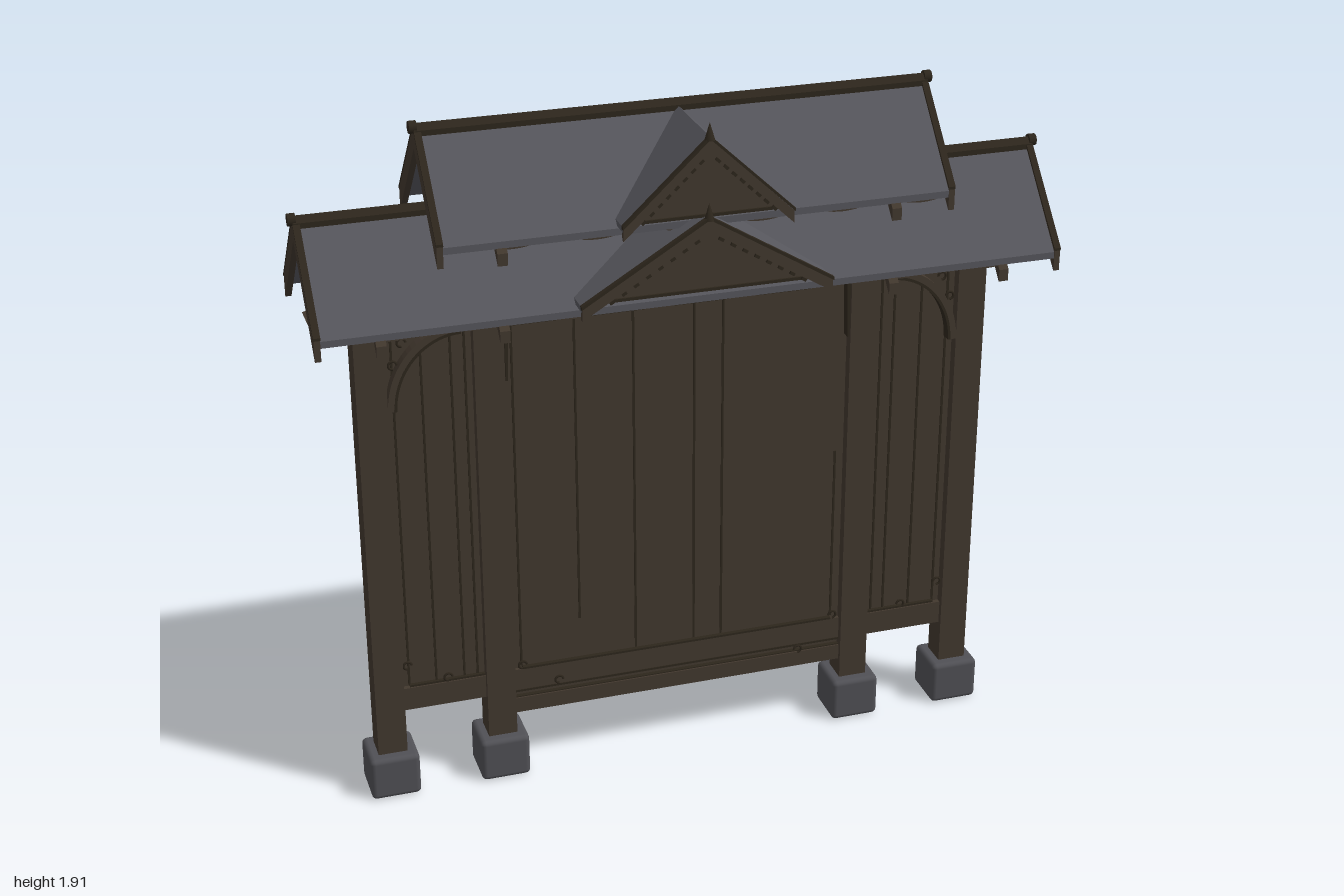
import * as THREE from 'three';
import { RoundedBoxGeometry } from 'three/addons/geometries/RoundedBoxGeometry.js';

const mat = (name, color, side = THREE.FrontSide) => {
  const m = new THREE.MeshStandardMaterial({ color, side });
  m.name = name;
  return m;
};

export function createModel() {
  const root = new THREE.Group();
  root.name = 'roofedNoticeBoard';
  const wood = mat('wood', 0x42382e);
  const trim = mat('darkTrim', 0x2d261c);
  const slate = mat('slate', 0x56565c);
  const stone = mat('stone', 0x505055);
  const ZC = -0.027; // centre plane of the wall and ridge

  const add = (name, geo, m, x = 0, y = 0, z = 0) => {
    const mesh = new THREE.Mesh(geo, m);
    mesh.name = name;
    mesh.position.set(x, y, z);
    root.add(mesh);
    return mesh;
  };
  // box given by its limits
  const box = (name, m, x0, x1, y0, y1, z0, z1) =>
    add(name, new THREE.BoxGeometry(x1 - x0, y1 - y0, z1 - z0), m, (x0 + x1) / 2, (y0 + y1) / 2, (z0 + z1) / 2);
  const polygon = (pts) => new THREE.Shape(pts.map(([a, b]) => new THREE.Vector2(a, b)));
  const extrude = (shape, depth) =>
    new THREE.ExtrudeGeometry(shape, { depth, bevelEnabled: false, curveSegments: 10 }).translate(0, 0, -depth / 2);
  // upside-down V: half width w, drop h, between vertical offsets a (top) and b (bottom)
  const chevron = (w, h, a, b) => polygon([[0, a], [-w, a - h], [-w, b - h], [0, b], [w, b - h], [w, a - h]]);
  const alongX = (shape, len) => extrude(shape, len).rotateY(-Math.PI / 2);

  // posts on stone feet
  for (const x of [-0.825, -0.516, 0.516, 0.825]) {
    add('stoneFoot', new RoundedBoxGeometry(0.137, 0.125, 0.137, 2, 0.014), stone, x, 0.0625, ZC);
    const top = Math.abs(x) > 0.7 ? 1.5 : 1.6;
    box('post', wood, x - 0.04, x + 0.04, 0.12, top, ZC - 0.038, ZC + 0.038);
  }

  // middle panel with rails
  box('middlePanel', wood, -0.48, 0.48, 0.2, 1.42, ZC - 0.012, ZC + 0.01);
  box('middleBottomRail', wood, -0.48, 0.48, 0.18, 0.225, ZC - 0.026, ZC + 0.026);
  box('middleLowerRail', wood, -0.48, 0.48, 0.245, 0.312, ZC - 0.02, ZC + 0.02);
  box('middleTopRail', wood, -0.48, 0.48, 1.345, 1.43, ZC - 0.026, ZC + 0.026);
  for (const [y, w] of [[0.225, 0.476], [0.245, 0.476], [0.315, 0.45], [1.34, 0.45]])
    box('middleRailLine', trim, -w, w, y - 0.003, y + 0.003, ZC, ZC + 0.022);
  // plank joints: x, bottom, top
  const joints = [[-0.284, 0.44, 1.34], [-0.124, 0.32, 1.34], [0.044, 0.32, 1.34], [0.124, 0.32, 1.34],
    [-0.452, 0.32, 1.34], [0.452, 0.32, 0.84]];
  for (const [x, y0, y1] of joints) box('plankJoint', trim, x - 0.003, x + 0.003, y0, y1, ZC, ZC + 0.013);

  // side panels
  for (const s of [-1, 1]) {
    const sbox = (name, m, a, b, ...r) => box(name, m, Math.min(s * a, s * b), Math.max(s * a, s * b), ...r);
    sbox('sidePanel', wood, 0.55, 0.79, 0.25, 1.42, ZC - 0.012, ZC + 0.01);
    sbox('sideBottomRail', wood, 0.55, 0.79, 0.245, 0.312, ZC - 0.024, ZC + 0.024);
    sbox('sideTopRail', wood, 0.55, 0.79, 1.345, 1.43, ZC - 0.024, ZC + 0.024);
    for (const y of [0.315, 1.34]) sbox('sideRailLine', trim, 0.555, 0.765, y - 0.003, y + 0.003, ZC, ZC + 0.02);
    for (const x of [0.575, 0.612, 0.69, 0.765])
      sbox('sidePlankJoint', trim, x - 0.003, x + 0.003, 0.315, 1.34, ZC, ZC + 0.013);

    // curved corner brace with a thin dark outline
    const brace = (r0, r1) => {
      const sh = new THREE.Shape();
      sh.absarc(0, 0, r1, 0, Math.PI / 2, false);
      sh.absarc(0, 0, r0, Math.PI / 2, 0, true);
      return sh;
    };
    for (const [name, m, r0, r1, d] of [['cornerBrace', wood, 0.181, 0.198, 0.034], ['braceEdge', trim, 0.174, 0.181, 0.036]]) {
      const g = extrude(brace(r0, r1), d).scale(1, 1.12, 1);
      if (s < 0) g.rotateY(Math.PI);
      add(name, g, m, s * 0.587, 1.145, ZC + 0.022);
    }

    // small scrolls on the rails and braces
    for (const [x, y] of [[0.77, 0.385], [0.66, 0.33], [0.35, s < 0 ? 0.265 : 0.235], [0.452, 0.33], [0.765, 1.27], [0.74, 1.33]]) {
      const c = add('scroll', new THREE.TorusGeometry(0.011, 0.0035, 5, 12, Math.PI * 1.5), trim, s * x, y, ZC + 0.027);
      c.rotation.y = s < 0 ? 0 : Math.PI;
    }
    // inner slim brackets beside the middle panel
    add('slimBracket', extrude(polygon([[0, 0], [s * 0.006, 0], [s * 0.012, 0.22], [0, 0.24]].slice(0, 4).map(([a, b]) => [-a, b])), 0.03),
      mat2(trim), s * 0.474, 1.19, ZC + 0.02);
  }

  // head beam with angled, shaped ends
  add('headBeam', extrude(polygon([[-0.955, 1.365], [0.955, 1.365], [0.975, 1.42], [0.93, 1.43], [-0.93, 1.43], [-0.975, 1.42]]), 0.066),
    wood, 0, 0, ZC);
  box('beamLine', trim, -0.95, 0.95, 1.362, 1.368, ZC - 0.035, ZC + 0.035);
  box('wallPlate', wood, -0.92, 0.92, 1.44, 1.6, ZC - 0.012, ZC + 0.012);

  // arched boards between the two roofs
  const arch = new THREE.Shape();
  arch.moveTo(-0.48, 1.58);
  arch.lineTo(0.48, 1.58);
  arch.lineTo(0.44, 1.68);
  arch.quadraticCurveTo(0.2, 1.83, 0, 1.83);
  arch.quadraticCurveTo(-0.2, 1.83, -0.44, 1.68);
  for (const z of [ZC + 0.018, ZC - 0.028]) add('archedBoard', extrude(arch, 0.008), wood, 0, 0, z);

  // wavy board hanging below an eave
  const valance = (half, top) => {
    const sh = new THREE.Shape();
    const n = Math.round(half / 0.055), step = (2 * half) / n;
    sh.moveTo(-half, top);
    sh.lineTo(-half, top - 0.022);
    for (let i = 0; i < n; i++) {
      const x = -half + i * step;
      sh.quadraticCurveTo(x + step / 2, top - (i % 2 ? 0.036 : 0.008), x + step, top - 0.022);
    }
    sh.lineTo(half, top);
    return sh;
  };

  // main roofs
  const W = 0.217, H = 0.235;
  const roof = (half, ridge, rafters) => {
    add('roofSlopes', alongX(chevron(W, H, 0, -0.018), 2 * half - 0.02), slate, 0, ridge, ZC);
    add('valance', extrude(valance(half - 0.03, ridge - H), 0.008), wood, 0, 0, ZC + W - 0.02);
    add('ridgeCap', alongX(chevron(0.016, 0.016, 0.013, -0.004), 2 * half), trim, 0, ridge, ZC);
    for (const s of [-1, 1]) {
      add('bargeBoard', alongX(chevron(W + 0.002, H, 0.006, -0.052), 0.016), wood, s * (half - 0.008), ridge, ZC);
      add('bargeCap', alongX(chevron(W + 0.003, H, 0.011, 0.004), 0.018), trim, s * (half - 0.008), ridge, ZC);
      const knob = add('ridgeKnob', new THREE.CylinderGeometry(0.016, 0.016, 0.02, 10), trim, s * (half + 0.002), ridge + 0.003, ZC);
      knob.rotation.z = Math.PI / 2;
      for (const x of rafters)
        add('rafter', alongX(chevron(W + 0.01, H + 0.01, -0.018, -0.05), 0.026), wood, s * x, ridge, ZC);
    }
    box('ridgeBeam', wood, -half + 0.03, half - 0.03, ridge - 0.065, ridge - 0.02, ZC - 0.018, ZC + 0.018);
  };
  roof(0.988, 1.677, [0.825, 0.516]);
  roof(0.677, 1.882, [0.516]);

  // one gable slope, running back until it meets the main roof
  const gableSlope = (s, w, h, zf, t) => {
    const zb = ZC + (h * W) / H;
    const top = [[0, 0, zf], [s * w, -h, zf], [s * w, -h, zb], [0, 0, ZC]];
    const p = [...top, ...top.map(([x, y, z]) => [x, y - t, z])];
    const quads = [[0, 1, 2, 3], [7, 6, 5, 4], [0, 4, 5, 1], [1, 5, 6, 2], [2, 6, 7, 3]];
    const v = [];
    for (const q of quads) {
      const [a, b, c, d] = s > 0 ? q : [...q].reverse();
      for (const i of [a, b, c, a, c, d]) v.push(...p[i]);
    }
    const g = new THREE.BufferGeometry();
    g.setAttribute('position', new THREE.Float32BufferAttribute(v, 3));
    g.computeVertexNormals();
    return g;
  };

  // front gables
  const gable = (w, h, ridge) => {
    const zf = 0.24;
    for (const s of [-1, 1]) {
      add('gableSlope', gableSlope(s, w, h, zf, 0.014), slate, 0, ridge, 0);
      // toothed edge under the barge boards
      for (let i = 1; i < 9; i++) {
        const k = i / 9;
        const d = add('gableTooth', new THREE.BoxGeometry(0.014, 0.008, 0.006), trim, s * w * k * 0.86, ridge - 0.042 - h * k * 0.86, zf - 0.002);
        d.rotation.z = -s * Math.atan2(h, w);
      }
    }
    add('gableBargeBoard', extrude(chevron(w, h, -0.004, -0.036), 0.012), wood, 0, ridge, zf - 0.004);
    add('gableEdge', extrude(chevron(w + 0.002, h, 0.004, -0.005), 0.014), trim, 0, ridge, zf - 0.002);
    add('gablePanel', extrude(polygon([[-w + 0.03, -h], [w - 0.03, -h], [0, -0.02]]), 0.01), wood, 0, ridge, zf - 0.03);
    box('gableSill', trim, -w + 0.03, w - 0.03, ridge - h - 0.004, ridge - h + 0.004, zf - 0.034, zf - 0.02);
    add('gableFinial', new THREE.ConeGeometry(0.014, 0.045, 8), trim, 0, ridge + 0.014, zf - 0.004);
  };
  gable(0.33, 0.2, 1.668);
  gable(0.222, 0.21, 1.876);

  return root;

  // two-sided variant, shared, for the thin mirrored brackets
  function mat2(m) {
    m.side = THREE.DoubleSide;
    return m;
  }
}
